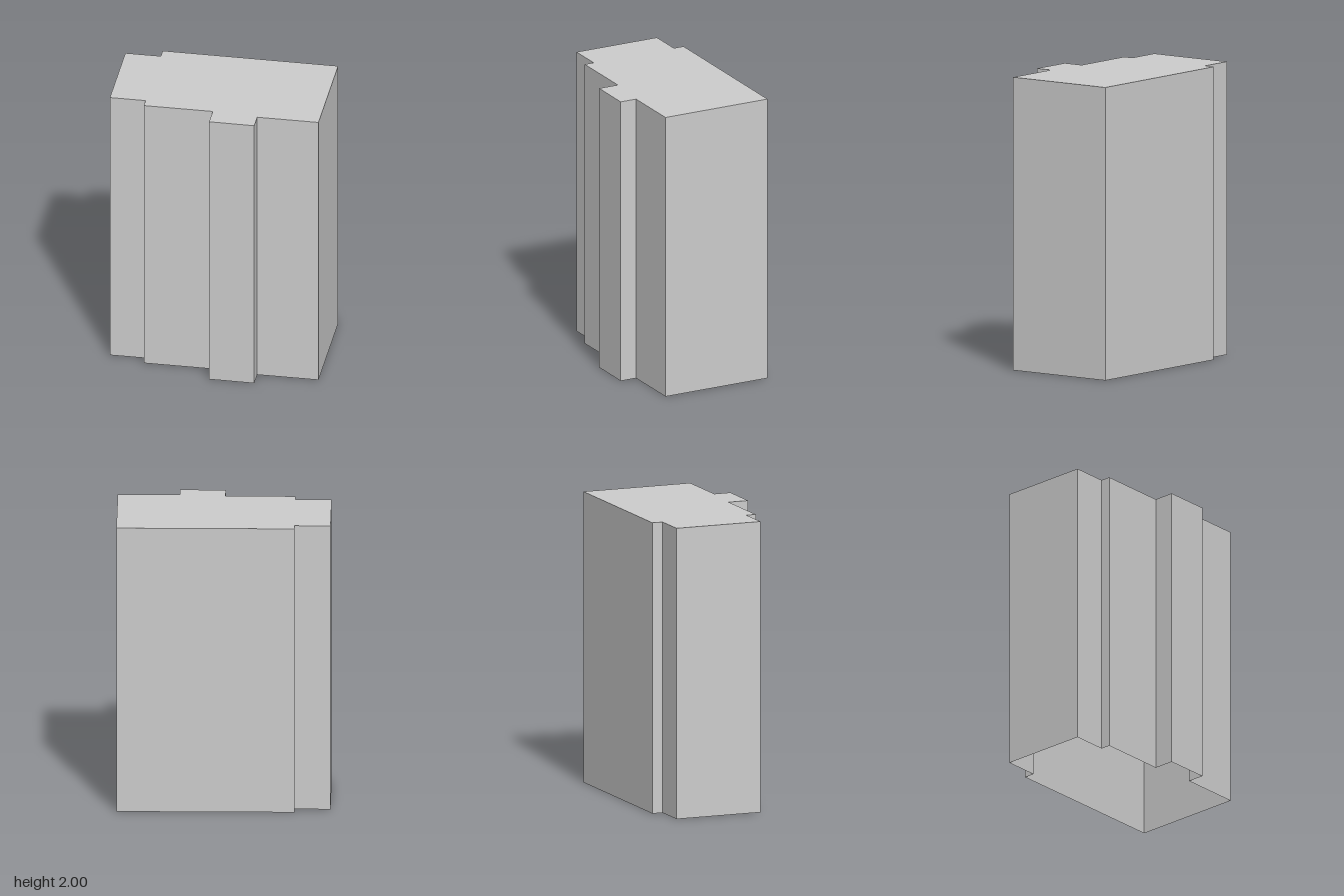
import * as THREE from 'three';

const HEIGHT = 2;

// Floor plan corners as [x, z], walked from the back right round the back to the front
const PLAN = [
  [-0.723, -0.38], [-0.48, -0.38], [-0.48, -0.454], [0.723, -0.45],
  [0.723, 0.332], [0.303, 0.332], [0.303, 0.45], [-0.006, 0.448],
  [-0.006, 0.305], [-0.478, 0.305], [-0.478, 0.236], [-0.723, 0.236],
];

export function createModel() {
  const building = new THREE.Group();
  building.name = 'building';
  const material = new THREE.MeshStandardMaterial({
    color: 0xcccccc, flatShading: true, side: THREE.DoubleSide,
  });

  // Walls: one upright panel per edge of the plan, facing outward
  const walls = new THREE.Group();
  walls.name = 'walls';
  PLAN.forEach(([x, z], i) => {
    const [nx, nz] = PLAN[(i + 1) % PLAN.length];
    const dx = nx - x, dz = nz - z;
    const wall = new THREE.Mesh(new THREE.PlaneGeometry(Math.hypot(dx, dz), HEIGHT), material);
    wall.name = `wall${i + 1}`;
    wall.position.set((x + nx) / 2, HEIGHT / 2, (z + nz) / 2);
    wall.rotation.y = Math.atan2(dz, -dx);
    walls.add(wall);
  });
  building.add(walls);

  // Flat roof; the underside stays open
  const outline = new THREE.Shape(PLAN.map(([x, z]) => new THREE.Vector2(x, -z)));
  const roof = new THREE.Mesh(new THREE.ShapeGeometry(outline).rotateX(-Math.PI / 2), material);
  roof.name = 'roof';
  roof.position.y = HEIGHT;
  building.add(roof);

  return building;
}
